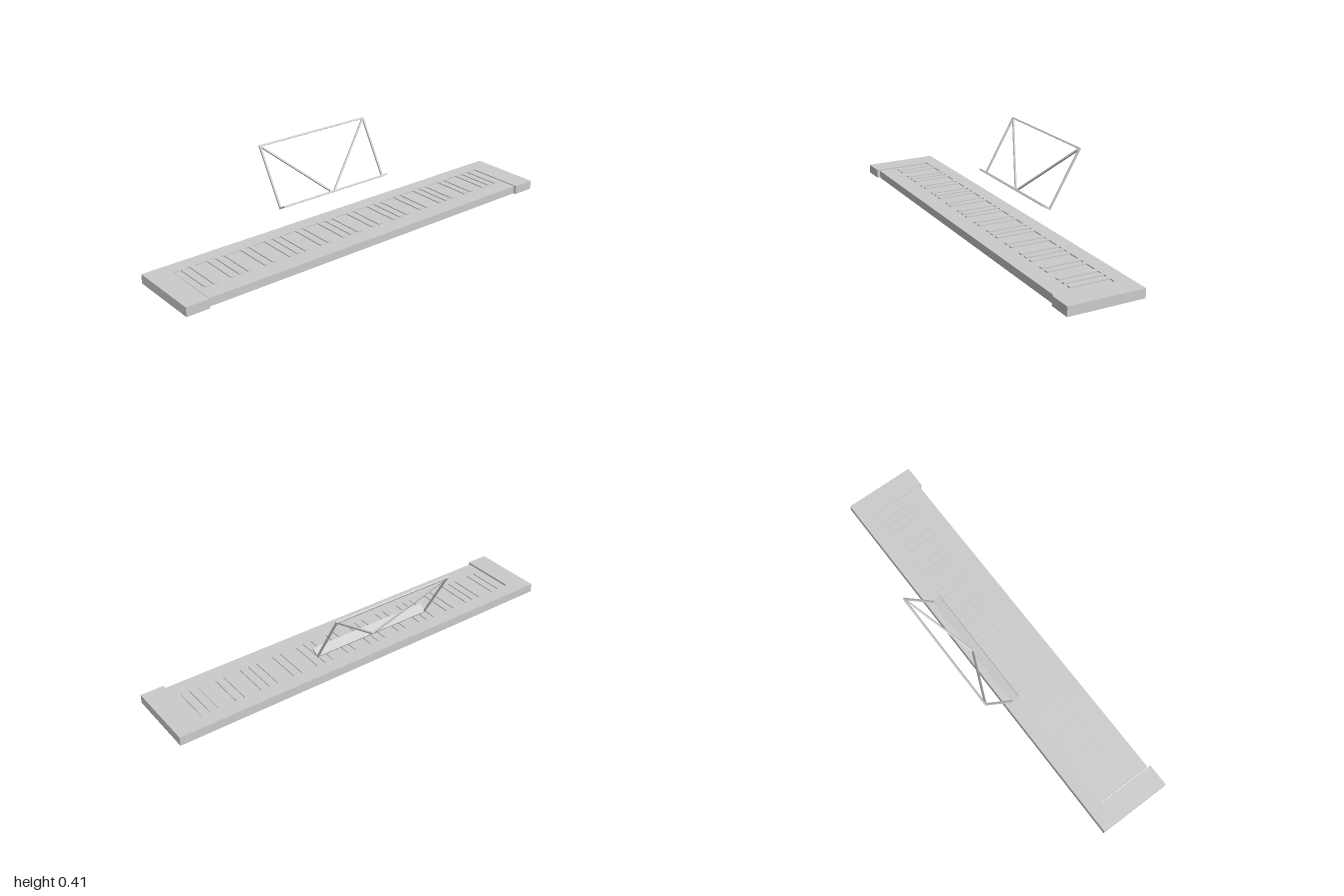
import * as THREE from 'three';

const material = new THREE.MeshStandardMaterial({ color: 0xcccccc, flatShading: true });

function add(parent, name, geometry) {
  const mesh = new THREE.Mesh(geometry, material);
  mesh.name = name;
  parent.add(mesh);
  return mesh;
}

// Box given by its minimum and maximum corners
function span(x0, x1, y0, y1, z0, z1) {
  return new THREE.BoxGeometry(x1 - x0, y1 - y0, z1 - z0)
    .translate((x0 + x1) / 2, (y0 + y1) / 2, (z0 + z1) / 2);
}

// Flat plate from an [x, z] outline, standing on y = 0
function plate(points, height) {
  const shape = new THREE.Shape(points.map(([x, z]) => new THREE.Vector2(x, -z)));
  return new THREE.ExtrudeGeometry(shape, { depth: height, bevelEnabled: false }).rotateX(-Math.PI / 2);
}

const TOP = 0.043, WHITE_TOP = 0.038;
const BACK = -0.107, KEY_BACK = -0.037, BLACK_FRONT = 0.147, KEY_FRONT = 0.233, FRONT = 0.246;
const KEYS = 42, LEFT = -0.886, RIGHT = 0.89, PITCH = (RIGHT - LEFT) / KEYS;
const HALF = 0.0105; // half width of a black key

// A black key sits on these white key boundaries of each octave
const hasBlack = (i) => i > 0 && i < KEYS && [1, 2, 4, 5, 6].includes(i % 7);

function createKeys() {
  const keys = new THREE.Group();
  keys.name = 'keys';
  for (let i = 0; i < KEYS; i++) {
    // White key, notched where a black key meets it
    const a = LEFT + i * PITCH, b = a + PITCH;
    const a2 = hasBlack(i) ? a + HALF : a, b2 = hasBlack(i + 1) ? b - HALF : b;
    const outline = [[a, KEY_FRONT], [b, KEY_FRONT]];
    if (b2 !== b) outline.push([b, BLACK_FRONT], [b2, BLACK_FRONT]);
    outline.push([b2, KEY_BACK], [a2, KEY_BACK]);
    if (a2 !== a) outline.push([a2, BLACK_FRONT], [a, BLACK_FRONT]);
    add(keys, 'whiteKey', plate(outline, WHITE_TOP));

    // Black key, raised and open beneath
    if (hasBlack(i)) add(keys, 'blackKey', span(a - HALF, a + HALF, 0.019, TOP, KEY_BACK, BLACK_FRONT));
  }
  return keys;
}

function createMusicStand() {
  const stand = new THREE.Group();
  stand.name = 'musicStand';
  const W = 0.305, H = 0.302, T = 0.008;

  add(stand, 'topBar', span(-W, W, H - T, H, 0, T));
  add(stand, 'sheetLip', span(-W, W, 0, T, 0, 0.045));
  for (const s of [-1, 1]) {
    add(stand, 'sidePost', span(-T / 2, T / 2, T, H - T, 0, T)).position.x = s * (W - T / 2);

    // Diagonal brace from the top corner to the middle of the lip
    const from = new THREE.Vector2(s * 0.006, T / 2), to = new THREE.Vector2(s * (W - T), H - T);
    const d = to.clone().sub(from);
    const brace = add(stand, 'brace', new THREE.BoxGeometry(d.length(), T, T));
    brace.position.set((from.x + to.x) / 2, (from.y + to.y) / 2, T / 2);
    brace.rotation.z = Math.atan2(d.y, d.x);
  }
  // Leans back above the body
  stand.position.set(0, 0.14, -0.094);
  stand.rotation.x = -Math.PI / 6;
  return stand;
}

export function createModel() {
  const model = new THREE.Group();
  model.name = 'keyboard';

  // U-shaped body: back rail with an end cheek on each side
  add(model, 'body', plate([
    [-1, FRONT], [-0.892, FRONT], [-0.892, KEY_BACK], [RIGHT, KEY_BACK],
    [RIGHT, FRONT], [1, FRONT], [1, BACK], [-1, BACK],
  ], TOP));
  model.add(createKeys(), createMusicStand());
  return model;
}
